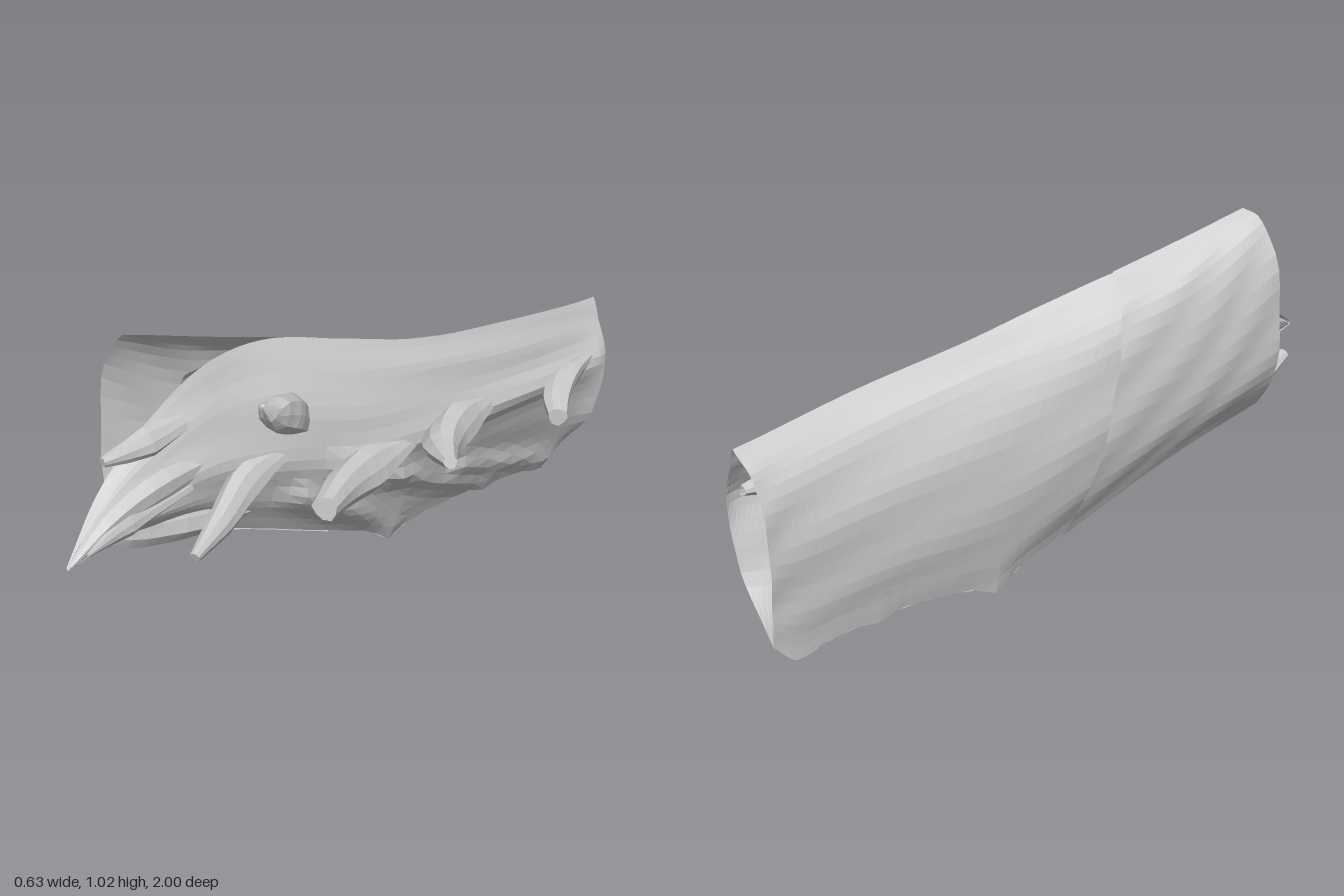
import * as THREE from 'three';

const material = new THREE.MeshStandardMaterial({ color: 0xcccccc, flatShading: true, side: THREE.DoubleSide });

// Raised ridges on the branching side: [z1, y1, z2, y2, width, height]
const swells = [
  [-0.95, 0.48, 0.05, 0.47, 0.05, 0.022],
  [-0.9, 0.05, -0.45, 0.24, 0.04, 0.035],
  [-0.62, 0.06, -0.15, 0.34, 0.04, 0.035],
  [-0.25, 0.04, 0.18, 0.38, 0.045, 0.04],
];
// Blunt nubs hanging from the keel: [z, depth]
const nubs = [[-0.9, 0.025], [-0.64, 0.022], [-0.25, 0.045]];

// Grid of quads from a function of two whole-number steps
function gridGeometry(rows, cols, pointAt) {
  const pos = [], idx = [];
  for (let i = 0; i <= rows; i++)
    for (let j = 0; j <= cols; j++) pos.push(...pointAt(i, j).toArray());
  for (let i = 0; i < rows; i++)
    for (let j = 0; j < cols; j++) {
      const a = i * (cols + 1) + j, b = a + cols + 1;
      idx.push(a, b, a + 1, b, b + 1, a + 1);
    }
  const geo = new THREE.BufferGeometry();
  geo.setAttribute('position', new THREE.Float32BufferAttribute(pos, 3));
  geo.setIndex(idx);
  geo.computeVertexNormals();
  return geo;
}

// Height of the ridges at a place on the branching side
function swellAt(z, y) {
  let sum = 0;
  for (const [z1, y1, z2, y2, w, h] of swells) {
    const dz = z2 - z1, dy = y2 - y1;
    const s = THREE.MathUtils.clamp(((z - z1) * dz + (y - y1) * dy) / (dz * dz + dy * dy), 0, 1);
    const d = Math.hypot(z - z1 - s * dz, y - y1 - s * dy);
    sum += h * Math.exp(-d * d / (w * w));
  }
  return sum;
}

// Bark sheet lofted through stations; each station is [zTop, zBottom, [x, y] pairs from crest to keel]
function sheet(name, stations, swell) {
  const rows = 48, cols = 20;
  const ribs = stations.map(([z0, z1, ...pts]) => new THREE.CatmullRomCurve3(
    pts.map(([x, y], k) => new THREE.Vector3(x, y, z0 + (z1 - z0) * k / (pts.length - 1)))));
  const strands = [];
  for (let j = 0; j <= cols; j++)
    strands.push(new THREE.CatmullRomCurve3(ribs.map(r => r.getPoint(j / cols))));
  const geo = gridGeometry(rows, cols, (i, j) => {
    const p = strands[j].getPoint(i / rows), t = j / cols;
    const inner = Math.sqrt(Math.max(0, Math.sin(Math.PI * t)));
    // shallow grain plus ridges, fading at both edges
    p.x += inner * (0.003 * Math.sin(j * 1.3 + i * 0.25) + swell * swellAt(p.z, p.y));
    for (const [z, depth] of nubs) p.y -= depth * t ** 10 * Math.exp(-(((p.z - z) / 0.05) ** 2));
    return p;
  });
  const mesh = new THREE.Mesh(geo, material);
  mesh.name = name;
  return mesh;
}

// Tapered limb along a curve, with slightly uneven sides and a closed tip
function limb(name, pts, radii) {
  const rows = 10, cols = 9;
  const curve = new THREE.CatmullRomCurve3(pts.map(p => new THREE.Vector3(...p)));
  const frames = curve.computeFrenetFrames(rows);
  const geo = gridGeometry(rows + 1, cols, (i, j) => {
    const k = Math.min(i, rows), t = k / rows, s = t * (radii.length - 1);
    const n = Math.min(Math.floor(s), radii.length - 2);
    const r = i > rows ? 0 : THREE.MathUtils.lerp(radii[n], radii[n + 1], s - n);
    const a = (j % cols) / cols * Math.PI * 2;
    const w = r * (1 + 0.1 * Math.sin(a * 3 + t * 2));
    return curve.getPoint(t)
      .addScaledVector(frames.normals[k], Math.cos(a) * w)
      .addScaledVector(frames.binormals[k], Math.sin(a) * w);
  });
  const mesh = new THREE.Mesh(geo, material);
  mesh.name = name;
  return mesh;
}

export function createModel() {
  const group = new THREE.Group();
  group.name = 'hollowLog';

  // Smooth side of the shell
  group.add(sheet('smoothBark', [
    [-1, -0.97, [0.08, 0.65], [0, 0.58], [-0.04, 0.42], [-0.03, 0.22], [-0.01, 0.07]],
    [-0.9, -0.9, [0.08, 0.662], [0, 0.59], [-0.045, 0.42], [-0.04, 0.2], [-0.02, 0.03]],
    [-0.6, -0.6, [0.07, 0.71], [-0.01, 0.64], [-0.08, 0.46], [-0.08, 0.22], [-0.045, 0.055]],
    [-0.25, -0.25, [0.03, 0.765], [-0.07, 0.71], [-0.15, 0.5], [-0.14, 0.23], [-0.09, 0.045]],
    [0, 0, [-0.03, 0.835], [-0.14, 0.75], [-0.2, 0.55], [-0.19, 0.32], [-0.12, 0.135]],
    [0.25, 0.25, [-0.1, 0.9], [-0.195, 0.81], [-0.235, 0.61], [-0.22, 0.4], [-0.15, 0.245]],
    [0.45, 0.45, [-0.125, 0.885], [-0.22, 0.8], [-0.262, 0.6], [-0.24, 0.43], [-0.19, 0.315]],
  ], 0));

  // Overlapping outer layer, cut cleanly at the front
  group.add(sheet('outerBark', [
    [0.2, -0.02, [-0.086, 0.895], [-0.187, 0.8], [-0.226, 0.6], [-0.207, 0.34], [-0.122, 0.12]],
    [0.4, 0.38, [-0.135, 0.952], [-0.23, 0.87], [-0.27, 0.65], [-0.252, 0.44], [-0.18, 0.285]],
    [0.62, 0.7, [-0.19, 1.02], [-0.235, 1.005], [-0.3, 0.9], [-0.318, 0.68], [-0.293, 0.5], [-0.21, 0.37]],
  ], 0));

  // Branching side of the shell, torn to a point at the front
  group.add(sheet('branchedBark', [
    [-1, -0.97, [0.08, 0.65], [0.12, 0.56], [0.15, 0.42], [0.12, 0.25], [-0.01, 0.07]],
    [-0.9, -0.9, [0.08, 0.662], [0.115, 0.57], [0.14, 0.43], [0.085, 0.25], [-0.02, 0.03]],
    [-0.6, -0.6, [0.07, 0.71], [0.11, 0.6], [0.12, 0.45], [0.04, 0.25], [-0.045, 0.055]],
    [-0.25, -0.25, [0.03, 0.765], [0.075, 0.65], [0.09, 0.46], [0, 0.24], [-0.09, 0.045]],
    [0, 0, [-0.03, 0.835], [0.03, 0.68], [0.05, 0.48], [-0.025, 0.29], [-0.12, 0.135]],
    [0.25, 0.25, [-0.1, 0.9], [-0.04, 0.75], [-0.01, 0.54], [-0.07, 0.38], [-0.15, 0.245]],
    [0.45, 0.45, [-0.125, 0.885], [-0.09, 0.74], [-0.06, 0.57], [-0.1, 0.44], [-0.19, 0.315]],
    [0.65, 0.62, [-0.165, 0.745], [-0.115, 0.66], [-0.08, 0.56], [-0.1, 0.48], [-0.17, 0.41]],
    [0.82, 0.82, [-0.145, 0.63], [-0.1, 0.6], [-0.07, 0.55], [-0.08, 0.51], [-0.11, 0.49]],
    [1, 1, [-0.062, 0.515], [-0.061, 0.512], [-0.06, 0.51], [-0.06, 0.507], [-0.061, 0.503]],
  ], 1));

  // Branch stubs, rising gradually from the bark and sweeping forward
  const stubs = [
    [[[0.13, 0.49, -0.95], [0.15, 0.475, -0.8], [0.21, 0.455, -0.68], [0.275, 0.45, -0.61]], [0.015, 0.045, 0.042, 0.03]],
    [[[0.1, 0.5, -0.52], [0.115, 0.48, -0.33], [0.18, 0.485, -0.2], [0.3, 0.52, -0.1]], [0.02, 0.07, 0.06, 0.02]],
    [[[0.07, 0.47, -0.2], [0.07, 0.45, 0], [0.105, 0.46, 0.14], [0.165, 0.47, 0.27]], [0.02, 0.07, 0.057, 0.038]],
    [[[-0.03, 0.57, 0.2], [-0.035, 0.53, 0.38], [0.01, 0.475, 0.52], [0.045, 0.43, 0.65]], [0.015, 0.055, 0.042, 0.016]],
    [[[-0.04, 0.64, 0.18], [-0.01, 0.7, 0.25], [0.02, 0.74, 0.32], [0.053, 0.765, 0.36], [0.06, 0.815, 0.4]], [0.045, 0.06, 0.05, 0.025, 0.006]],
  ];
  stubs.forEach(([pts, radii], i) => group.add(limb('branchStub' + (i + 1), pts, radii)));

  // Splinters and the lower torn lobe at the front end
  const splinters = [
    [[[-0.1, 0.6, 0.4], [-0.115, 0.59, 0.65], [-0.1, 0.56, 0.83], [-0.06, 0.51, 0.99]], [0.025, 0.06, 0.045, 0.005]],
    [[[-0.09, 0.56, 0.55], [-0.08, 0.545, 0.78], [-0.03, 0.545, 0.95]], [0.02, 0.035, 0.005]],
    [[[-0.13, 0.35, 0.25], [-0.155, 0.41, 0.5], [-0.18, 0.45, 0.7], [-0.19, 0.49, 0.84]], [0.02, 0.065, 0.06, 0.015]],
    [[[-0.12, 0.76, 0.4], [-0.15, 0.715, 0.64], [-0.168, 0.7, 0.78]], [0.015, 0.045, 0.015]],
  ];
  splinters.forEach(([pts, radii], i) => group.add(limb('splinter' + (i + 1), pts, radii)));

  return group;
}
